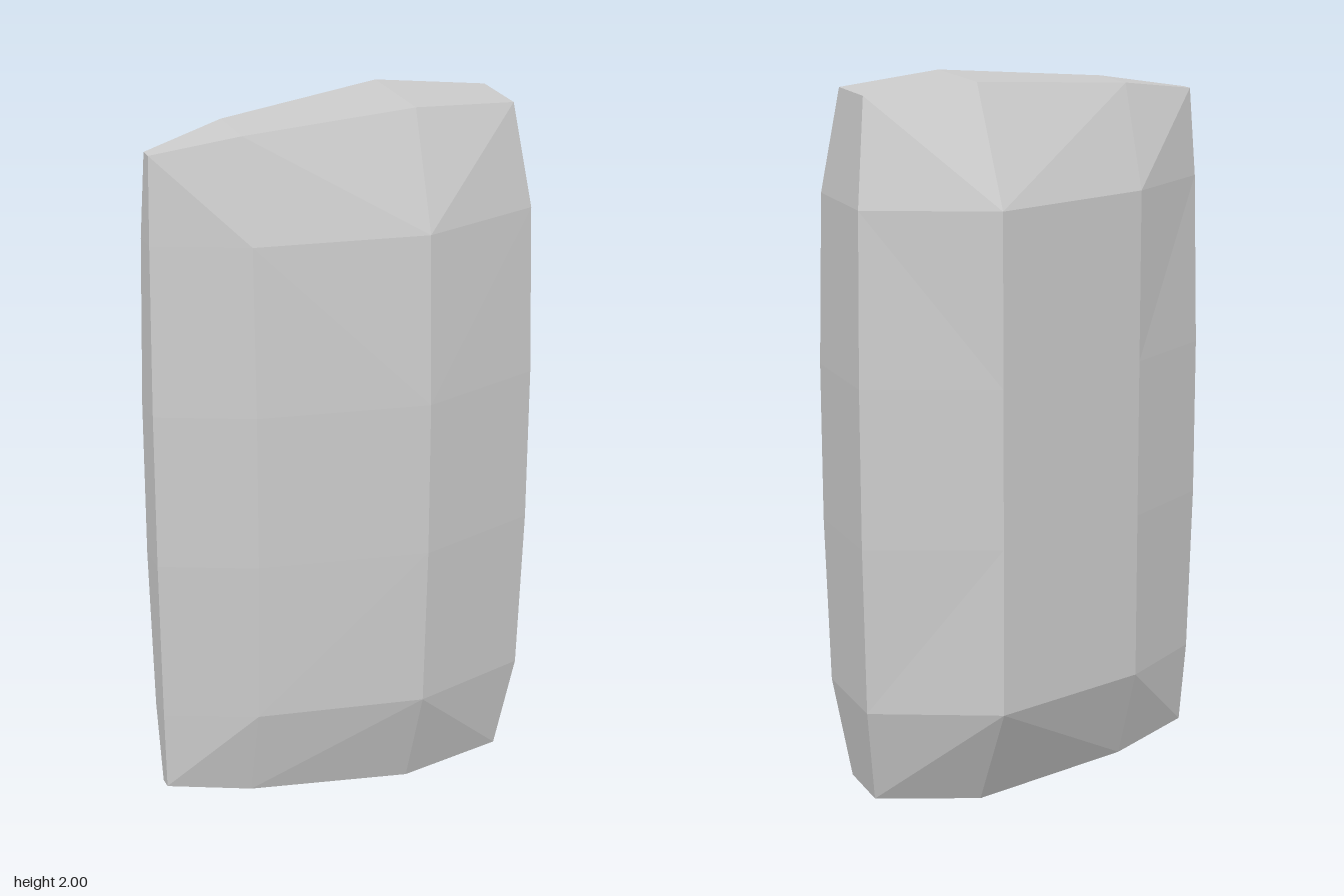
import * as THREE from 'three';

// Four columns per cross-section, each [x, back z, front z, height above mid plane]
const MIDDLE = [[-0.53, 0, 0.09, 0.22], [-0.28, -0.15, 0.2, 0.22], [0.18, -0.285, 0.285, 0.22], [0.525, -0.135, 0.173, 0.22]];
const SHOULDER = [[-0.522, 0.01, 0.08, 0.69], [-0.28, -0.15, 0.185, 0.69], [0.18, -0.285, 0.265, 0.69], [0.515, -0.125, 0.163, 0.69]];
const CAP = [[-0.515, 0.035, 0.07, 0.928], [-0.28, -0.045, 0.115, 0.965], [0.18, -0.115, 0.155, 1], [0.472, -0.057, 0.125, 0.973]];

const HUB = 2; // widest column, where the facets meet

// Closed ring: along the front to +x, back along the rear
function ring(section, side) {
  const point = (c, k) => new THREE.Vector3(c[0], 1 + side * c[3], c[k]);
  return [...section.map(c => point(c, 2)), ...section.map(c => point(c, 1)).reverse()];
}

function stoneGeometry() {
  const rings = [ring(CAP, -1), ring(SHOULDER, -1), ring(MIDDLE, -1), ring(MIDDLE, 1), ring(SHOULDER, 1), ring(CAP, 1)];
  const points = [];
  const quad = (a, b, c, d, alongAC) => points.push(...(alongAC ? [a, b, c, a, c, d] : [a, b, d, b, c, d]));
  const distance = i => Math.abs((i < 4 ? i : 7 - i) - HUB);

  // Side facets, with diagonals fanning out from the widest column
  for (let r = 0; r < 5; r++) {
    for (let i = 0; i < 8; i++) {
      const j = (i + 1) % 8;
      const upper = r > 1;
      quad(rings[r][i], rings[r][j], rings[r + 1][j], rings[r + 1][i], (distance(i) < distance(j)) === upper);
    }
  }

  // Top and bottom facets
  const [bottom, top] = [rings[0], rings[5]];
  for (let i = 0; i < 3; i++) {
    quad(top[i], top[i + 1], top[6 - i], top[7 - i], true);
    quad(bottom[7 - i], bottom[6 - i], bottom[i + 1], bottom[i], true);
  }

  const geometry = new THREE.BufferGeometry().setFromPoints(points);
  geometry.computeVertexNormals();
  return geometry;
}

export function createModel() {
  const group = new THREE.Group();
  group.name = 'facetedStone';
  const material = new THREE.MeshStandardMaterial({ color: 0xcccccc, flatShading: true });
  const stone = new THREE.Mesh(stoneGeometry(), material);
  stone.name = 'stoneBody';
  group.add(stone);
  return group;
}
